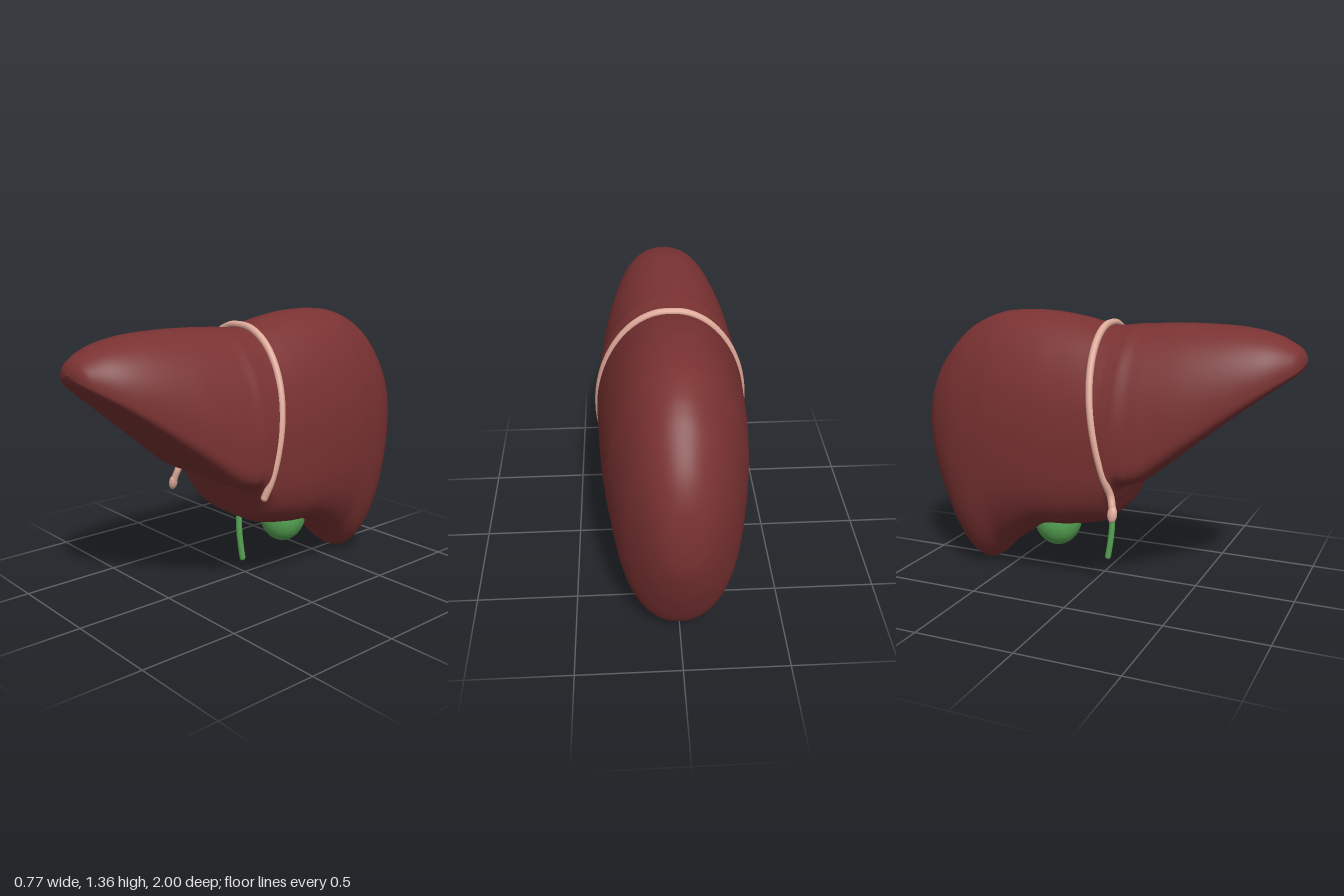
import * as THREE from 'three';

const V = (x, y, z) => new THREE.Vector3(x, y, z);
const { smoothstep, lerp, clamp } = THREE.MathUtils;

// Stations along the organ: z, top height, bottom height, half width
const stations = [
  [1, 1.17, 1.17, 0], [0.985, 1.208, 1.135, 0.075], [0.95, 1.24, 1.1, 0.132], [0.85, 1.287, 1.02, 0.208],
  [0.7, 1.315, 0.9, 0.27], [0.5, 1.322, 0.735, 0.327], [0.33, 1.317, 0.595, 0.358], [0.25, 1.311, 0.555, 0.367],
  [0.19, 1.308, 0.535, 0.372], [0.15, 1.303, 0.455, 0.374], [0.1, 1.298, 0.355, 0.374], [0.04, 1.299, 0.322, 0.372],
  [-0.1, 1.33, 0.292, 0.365], [-0.25, 1.352, 0.258, 0.356], [-0.4, 1.357, 0.18, 0.342], [-0.52, 1.347, 0.1, 0.326],
  [-0.59, 1.33, 0.028, 0.312], [-0.65, 1.307, -0.003, 0.298], [-0.72, 1.27, 0.025, 0.277], [-0.8, 1.205, 0.125, 0.243],
  [-0.9, 1.085, 0.33, 0.178], [-0.96, 0.97, 0.49, 0.118], [-0.988, 0.86, 0.59, 0.066], [-1, 0.71, 0.71, 0],
];
const heights = new THREE.CatmullRomCurve3(stations.map(s => V(s[0], s[1], s[2])), false, 'catmullrom', 0.5);
const widths = new THREE.CatmullRomCurve3(stations.map(s => V(s[0], s[3], 0)), false, 'catmullrom', 0.5);
const UPPER = 2.1;

// Cross-section values at t (0 = front tip, 1 = back)
function section(t) {
  const h = heights.getPoint(t), z = h.x;
  const front = smoothstep(z, 0.06, 0.25);   // thin flat-bottomed lobe
  const mid = smoothstep(z, -0.65, -0.1);    // flattened underside
  return {
    z, top: h.y, bottom: h.z, w: widths.getPoint(t).y,
    middle: lerp(h.z, h.y, lerp(lerp(0.5, 0.4, mid), 0.22, front)),
    lower: lerp(lerp(2.2, 3.2, mid), 3.8, front),
    hollow: 0.022 * front * (1 - smoothstep(z, 0.75, 1)) + 0.025 * Math.exp(-(((z + 0.28) / 0.1) ** 2)),
  };
}

function sectionAtZ(z) {
  let a = 0, b = 1;
  for (let i = 0; i < 30; i++) {
    const m = (a + b) / 2;
    if (heights.getPoint(m).x > z) a = m; else b = m;
  }
  return section(a);
}

// Half width of the body at a height and depth
function halfWidth(y, z) {
  const s = sectionAtZ(z), up = y > s.middle;
  const v = up ? clamp((y - s.middle) / (s.top - s.middle), 0, 1)
    : clamp((s.middle - y) / (s.middle - s.bottom), 0, 0.65);
  const n = up ? UPPER : s.lower;
  return s.w * (1 - v ** n) ** (1 / n);
}

function bodyGeometry(rings = 184, sides = 96) {
  const pos = [], index = [];
  for (let i = 0; i <= rings; i++) {
    const s = section(i / rings);
    for (let j = 0; j < sides; j++) {
      const a = (j / sides) * Math.PI * 2, c = Math.cos(a), n = Math.sin(a);
      const p = 2 / (n > 0 ? UPPER : s.lower);
      const u = Math.sign(c) * Math.abs(c) ** p, v = Math.abs(n) ** p;
      const y = n > 0 ? s.middle + v * (s.top - s.middle)
        : s.middle - v * (s.middle - s.bottom) + s.hollow * v * (1 - u * u) ** 2;
      pos.push(s.w * u, y, s.z);
      if (i < rings) {
        const k = (j + 1) % sides, A = i * sides + j, B = i * sides + k;
        index.push(A, A + sides, B, B, A + sides, B + sides);
      }
    }
  }
  const g = new THREE.BufferGeometry();
  g.setAttribute('position', new THREE.Float32BufferAttribute(pos, 3));
  g.setIndex(index);
  g.computeVertexNormals();
  return g;
}

export function createModel() {
  const model = new THREE.Group();
  const flesh = new THREE.MeshStandardMaterial({ color: 0x7a3232 });
  const tissue = new THREE.MeshStandardMaterial({ color: 0xdea999 });
  const green = new THREE.MeshStandardMaterial({ color: 0x59a856 });

  const add = (name, geometry, material, parent = model) => {
    const m = new THREE.Mesh(geometry, material);
    m.name = name;
    parent.add(m);
    return m;
  };
  // Round-ended tube through points
  const cord = (name, points, radius, material) => {
    const g = new THREE.Group();
    g.name = name;
    model.add(g);
    add(name + 'Tube', new THREE.TubeGeometry(new THREE.CatmullRomCurve3(points), 160, radius, 12), material, g);
    for (const p of [points[0], points[points.length - 1]])
      add(name + 'End', new THREE.SphereGeometry(radius, 12, 8), material, g).position.copy(p);
  };

  add('liverLobes', bodyGeometry(), flesh);

  // Ligament band half sunk into the body between the lobes
  const side = (s) => {
    const pts = [];
    for (let i = 0; i <= 16; i++) {
      const k = 1 - Math.cos((i / 16) * Math.PI / 2);
      const y = 1.298 - 0.768 * k, z = 0.035 + 0.138 * k ** 1.8;
      pts.push(V(i ? s * (halfWidth(y, z) - 0.01 * k) : 0, y + 0.008 * (1 - k), z));
    }
    return pts;
  };
  // The right end hangs loose below the edge
  const tail = [V(-0.364, 0.434, 0.194), V(-0.35, 0.485, 0.186)];
  cord('ligament', [...tail, ...side(-1).reverse(), ...side(1).slice(1)], 0.018, tissue);
  const bulb = add('ligamentBulb', new THREE.SphereGeometry(1, 20, 14), tissue);
  bulb.scale.set(0.021, 0.042, 0.024);
  bulb.position.set(-0.362, 0.448, 0.192);
  bulb.rotation.z = -0.25;

  // Gallbladder under the back lobe
  const bladder = add('gallbladder', new THREE.SphereGeometry(1, 40, 28), green);
  bladder.scale.set(0.122, 0.155, 0.13);
  bladder.position.set(0, 0.27, -0.27);

  // Bile duct
  cord('bileDuct', [V(0, 0.36, 0.04), V(0, 0.26, 0.041), V(0, 0.17, 0.032), V(0, 0.083, 0.018)], 0.016, green);

  return model;
}
